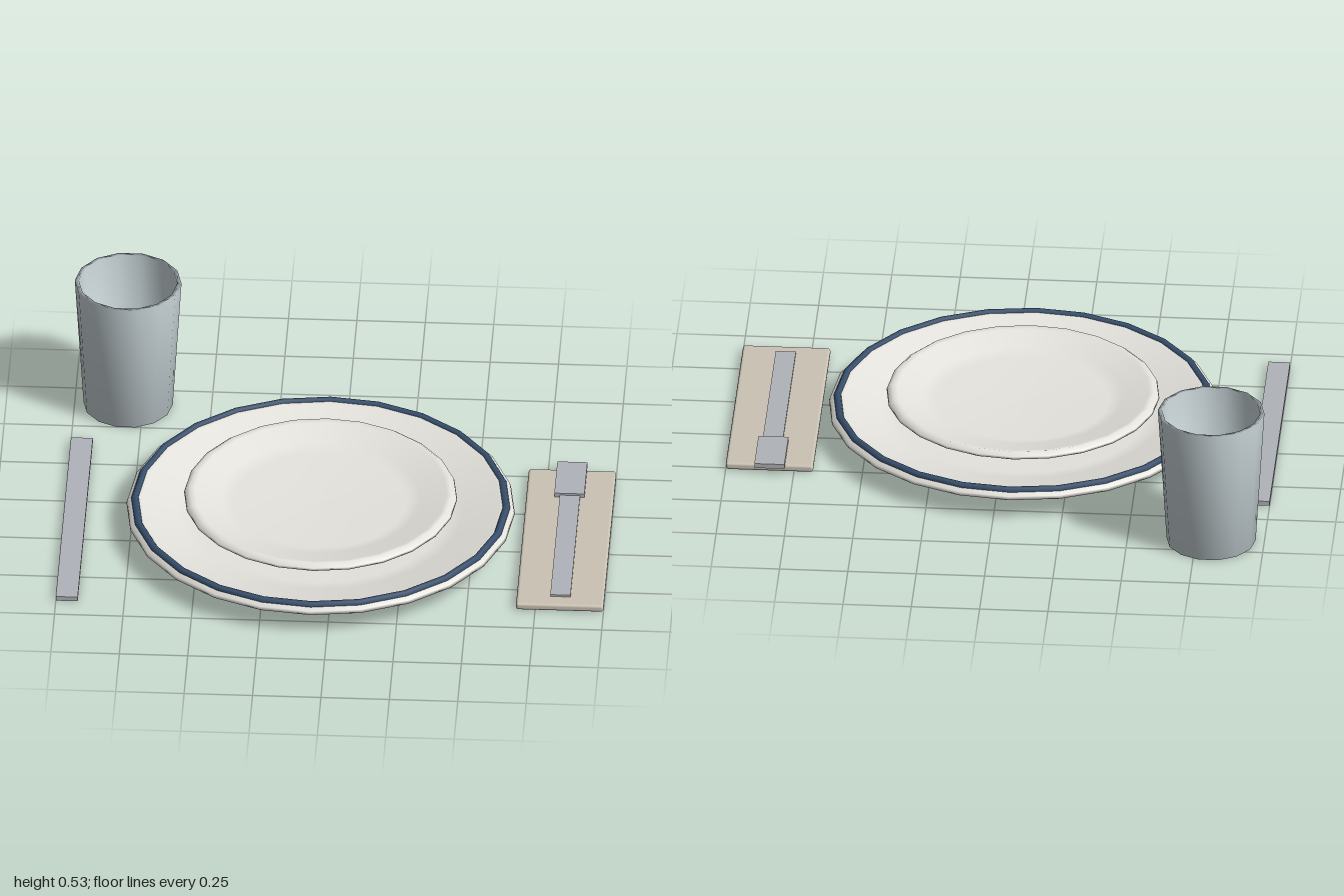
import * as THREE from 'three';
import { RoundedBoxGeometry } from 'three/addons/geometries/RoundedBoxGeometry.js';

const material = (color) => new THREE.MeshStandardMaterial({ color, side: THREE.DoubleSide });
const ceramic = material(0xe6e4de);
const blue = material(0x38506e);
const glass = material(0xccd8dc);
const steel = material(0xb0b3b9);
const linen = material(0xcbc3b4);

function add(group, name, geometry, mat, x, y, z) {
  const mesh = new THREE.Mesh(geometry, mat);
  mesh.name = name;
  mesh.position.set(x, y, z);
  group.add(mesh);
  return mesh;
}

const lathe = (profile, sides) =>
  new THREE.LatheGeometry(profile.map(([r, y]) => new THREE.Vector2(r, y)), sides);

// Box given by its min and max along each axis
function slab(group, name, mat, [x0, x1], [y0, y1], [z0, z1], bevel = 0) {
  const size = [x1 - x0, y1 - y0, z1 - z0];
  const geometry = bevel ? new RoundedBoxGeometry(...size, 2, bevel) : new THREE.BoxGeometry(...size);
  return add(group, name, geometry, mat, (x0 + x1) / 2, (y0 + y1) / 2, (z0 + z1) / 2);
}

export function createModel() {
  const model = new THREE.Group();
  model.name = 'placeSetting';

  // Plates: one profile, the upper plate is a smaller copy
  const plate = lathe([
    [0, 0], [0.45, 0], [0.51, 0.028], [0.71, 0.088], [0.706, 0.1], [0.682, 0.119],
    [0.655, 0.112], [0.52, 0.076], [0.45, 0.058], [0, 0.052],
  ], 24);
  add(model, 'dinnerPlate', plate, ceramic, -0.06, 0, 0.13);
  add(model, 'saladPlate', plate, ceramic, -0.06, 0.08, 0.13).scale.setScalar(0.703);

  // Coloured band on the dinner plate rim
  const band = new THREE.TorusGeometry(0.678, 0.015, 6, 24).rotateX(Math.PI / 2);
  add(model, 'rimBand', band, blue, -0.06, 0.11, 0.13);

  // Tumbler with a thick floor
  const tumbler = lathe([
    [0, 0], [0.163, 0], [0.195, 0.53], [0.18, 0.53], [0.152, 0.03], [0, 0.03],
  ], 14).rotateY(Math.PI / 2);
  add(model, 'tumbler', tumbler, glass, -0.805, 0, -0.66);

  // Knife on the outer side
  slab(model, 'knife', steel, [-1, -0.92], [0, 0.018], [-0.395, 0.66]);

  // Napkin with the fork on top
  slab(model, 'napkin', linen, [0.68, 1], [0, 0.028], [-0.265, 0.635], 0.01);
  slab(model, 'forkHandle', steel, [0.803, 0.877], [0.024, 0.036], [-0.1, 0.58]);
  slab(model, 'forkHead', steel, [0.783, 0.893], [0.026, 0.044], [-0.29, -0.08]);

  return model;
}
